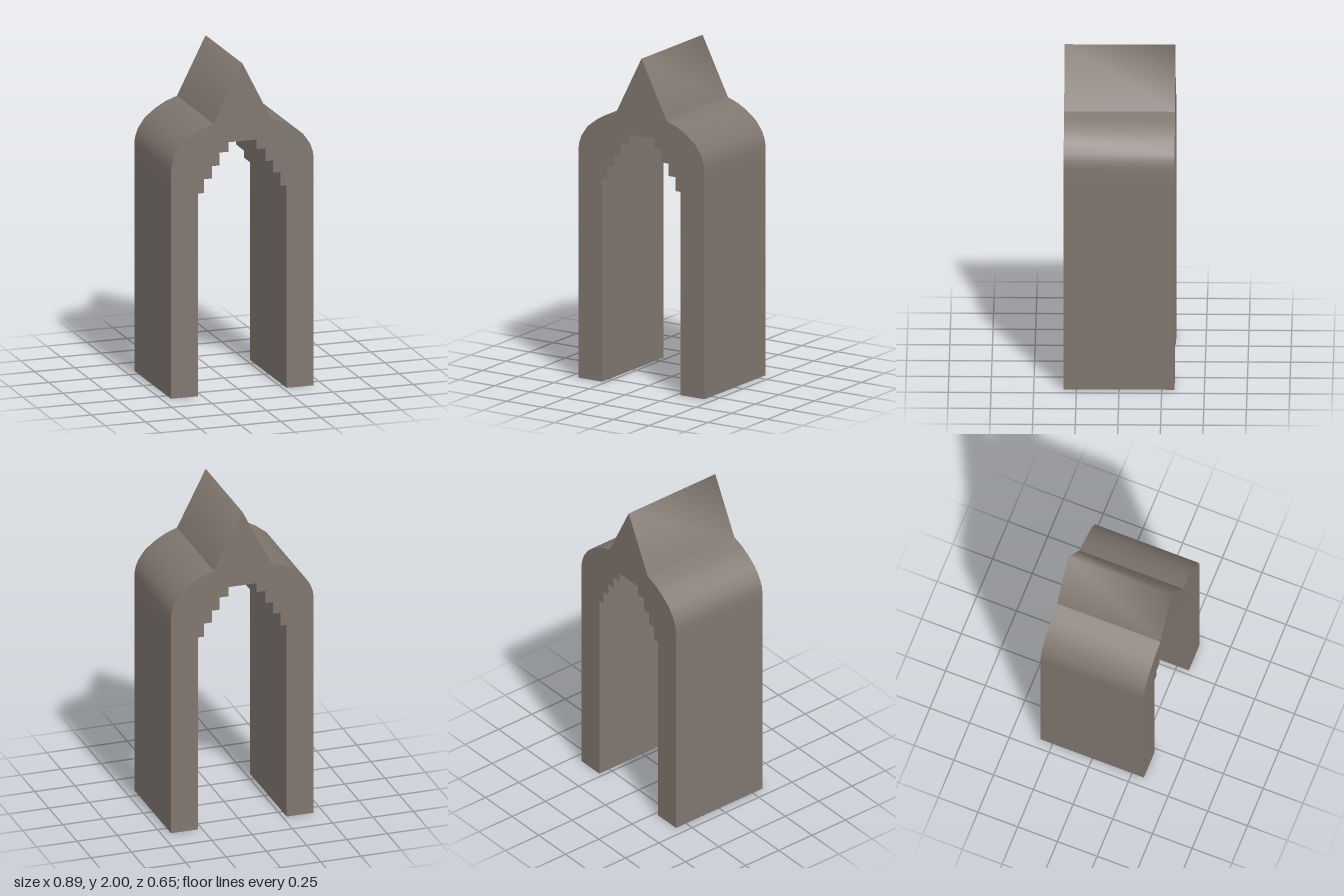
import * as THREE from 'three';

const HALF_DEPTH = 0.325;

// Half profiles on the +x side, from the ground upwards
const shoulder = [[0.443, 0], [0.443, 1.3], [0.443, 1.387], [0.436, 1.43], [0.42, 1.475], [0.377, 1.536],
  [0.31, 1.588], [0.25, 1.622], [0.178, 1.648]];
const steps = [[0.275, 0], [0.275, 1.233], [0.238, 1.233], [0.238, 1.317], [0.19, 1.317], [0.19, 1.392],
  [0.143, 1.392], [0.143, 1.47], [0.087, 1.47], [0.087, 1.528]];

const mirrored = (points) => points.map(([x, y]) => [-x, y]).reverse();

// Sweeps an open profile through the depth; its left-hand side faces inwards
function sweep(points, smooth) {
  const positions = [];
  const index = [];
  points.forEach(([x, y], i) => {
    positions.push(x, y, HALF_DEPTH, x, y, -HALF_DEPTH);
    if (i > 0) {
      const a = 2 * (i - 1);
      index.push(a, a + 1, a + 2, a + 1, a + 3, a + 2);
    }
  });
  let geometry = new THREE.BufferGeometry();
  geometry.setAttribute('position', new THREE.Float32BufferAttribute(positions, 3));
  geometry.setIndex(index);
  if (!smooth) geometry = geometry.toNonIndexed();
  geometry.computeVertexNormals();
  return geometry;
}

export function createModel() {
  const group = new THREE.Group();
  group.name = 'pointedArch';
  const stone = new THREE.MeshStandardMaterial({ color: 0x80766f, side: THREE.DoubleSide });
  stone.name = 'warmGreyStone';

  const add = (name, geometry) => {
    const mesh = new THREE.Mesh(geometry, stone);
    mesh.name = name;
    group.add(mesh);
    return mesh;
  };

  // Rounded outer walls and the peak, creased where they meet
  add('leftOuterWall', sweep(shoulder, true));
  add('rightOuterWall', sweep(mirrored(shoulder), true));
  add('peak', sweep([[0.178, 1.648], [0, 2], [-0.178, 1.648]], true));

  // Stepped lining of the opening
  const opening = [...steps, ...mirrored(steps)];
  add('steppedLining', sweep([...opening].reverse(), false));

  // Flat front and back faces; the feet stay open underneath
  const outline = [...shoulder, [0, 2], ...mirrored(shoulder), ...[...opening].reverse()];
  const shape = new THREE.Shape(outline.map(([x, y]) => new THREE.Vector2(x, y)));
  add('frontFace', new THREE.ShapeGeometry(shape)).position.z = HALF_DEPTH;
  const back = add('backFace', new THREE.ShapeGeometry(shape));
  back.rotation.y = Math.PI;
  back.position.z = -HALF_DEPTH;

  return group;
}
